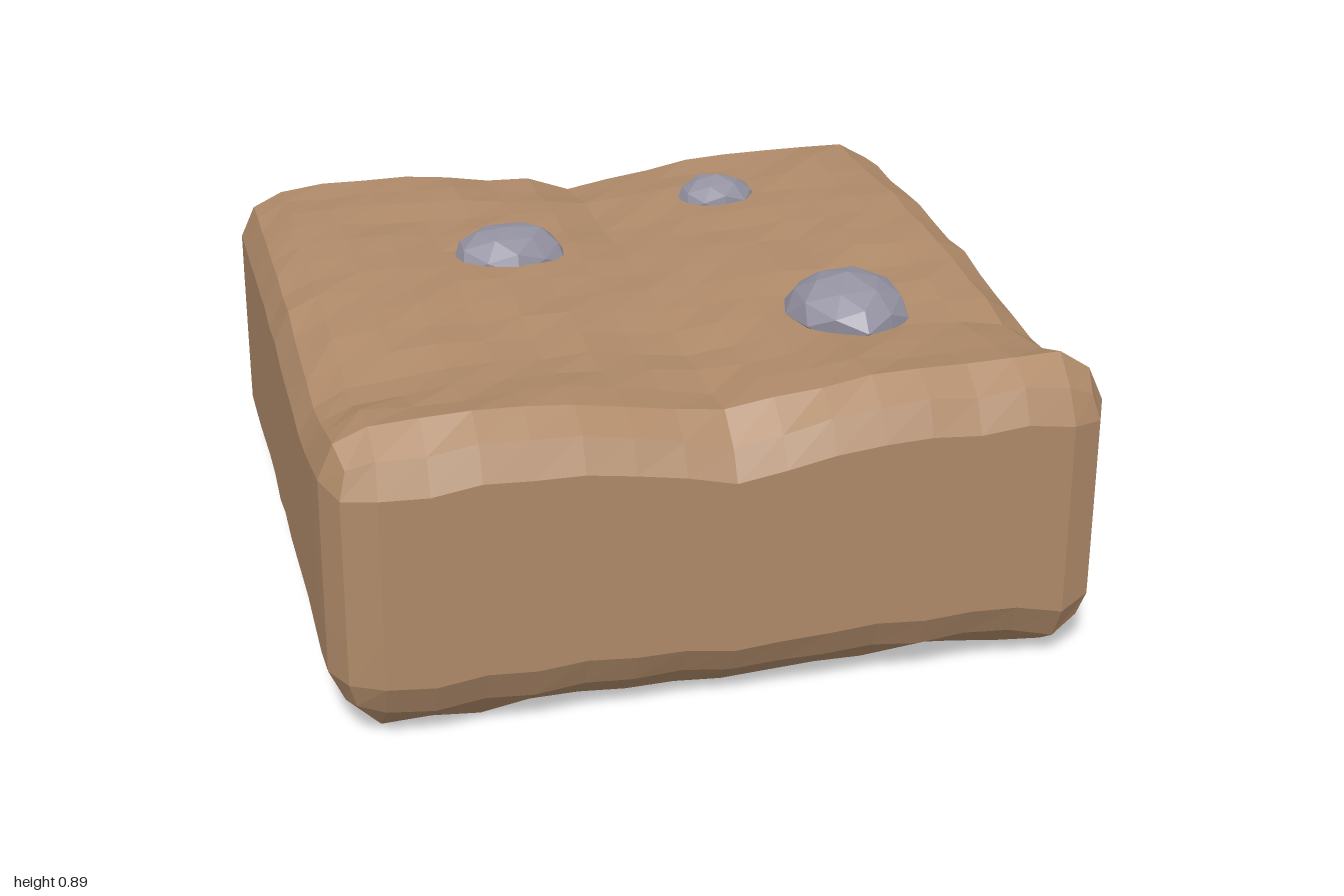
import * as THREE from 'three';

const ROUND = 0.14; // edge rounding of the block
const BOTTOM = 0.03, TOP = 0.81;

// Piecewise-linear curve through [t, value] points
function curve(points, t) {
  for (let i = 1; i < points.length; i++) {
    const [t0, v0] = points[i - 1], [t1, v1] = points[i];
    if (t <= t1) return v0 + (v1 - v0) * (t - t0) / (t1 - t0);
  }
  return points[points.length - 1][1];
}

// Repeatable value in -1..1 for a position, so coincident corners stay joined
function hash(x, y, z) {
  const s = Math.sin(Math.round(x * 100) * 12.99 + Math.round(y * 100) * 78.23 + Math.round(z * 100) * 37.72) * 43758.5;
  return (s - Math.floor(s)) * 2 - 1;
}

// Gentle rise and fall of the top, across and along the block
const across = [[-1, 0], [-0.6, 0.02], [-0.4, 0.015], [-0.2, -0.01], [0, -0.06], [0.2, -0.02], [0.4, 0.005], [0.75, 0.02], [1, -0.005]];
const along = [[-1, -0.01], [-0.8, 0.015], [-0.4, 0.018], [0, 0.005], [0.25, -0.025], [0.5, -0.055], [0.65, -0.045], [0.87, 0.01], [1, -0.02]];
// Rise and fall of the underside
const under = [[-1, 0.005], [-0.85, -0.02], [-0.6, -0.01], [-0.4, 0.02], [0, 0], [0.35, 0.03], [0.6, 0.02], [0.87, -0.02], [1, 0.005]];

function topOffset(x, z) {
  return curve(across, x) * (0.25 + 0.75 * z * z)
    + curve(along, z) * (0.35 + 0.65 * x * x)
    + 0.01 * hash(x, 1, z);
}

function bottomOffset(x, z) {
  const rim = Math.max(Math.abs(x), Math.abs(z)) ** 8;
  return 0.7 * (curve(under, x) + curve(under, z)) - 0.005 + 0.018 * rim + 0.014 * hash(x, 2, z);
}

// Block: a gridded box with rounded edges and an uneven top and underside
function makeBlock(material) {
  const height = TOP - BOTTOM;
  const geometry = new THREE.BoxGeometry(2, height, 2, 16, 6, 16);
  const pos = geometry.attributes.position;
  const half = new THREE.Vector3(1, height / 2, 1);
  const inner = half.clone().subScalar(ROUND);
  const p = new THREE.Vector3(), core = new THREE.Vector3();
  for (let i = 0; i < pos.count; i++) {
    p.fromBufferAttribute(pos, i);
    const { x, z } = p;
    const t = p.y / height + 0.5;
    core.copy(p).clamp(inner.clone().negate(), inner);
    p.sub(core).setLength(ROUND).add(core);
    p.y += (TOP + BOTTOM) / 2 + t * topOffset(x, z) + (1 - t) * bottomOffset(x, z);
    pos.setXYZ(i, p.x, Math.max(p.y, 0), p.z);
  }
  geometry.computeVertexNormals();
  const block = new THREE.Mesh(geometry, material);
  block.name = 'earthBlock';
  return block;
}

// Stone: a slightly irregular faceted ball, squashed and half buried
function makeStone(name, [x, y, z], [rx, ry, rz], material) {
  const geometry = new THREE.IcosahedronGeometry(1, 1);
  const pos = geometry.attributes.position;
  const p = new THREE.Vector3();
  for (let i = 0; i < pos.count; i++) {
    p.fromBufferAttribute(pos, i);
    p.multiplyScalar(1 + 0.06 * hash(p.x + x, p.y, p.z + z));
    pos.setXYZ(i, p.x * rx, p.y * ry, p.z * rz);
  }
  geometry.computeVertexNormals();
  const stone = new THREE.Mesh(geometry, material);
  stone.name = name;
  stone.position.set(x, y, z);
  return stone;
}

export function createModel() {
  const earth = new THREE.MeshStandardMaterial({ color: 0xaf8a69, flatShading: true });
  const rock = new THREE.MeshStandardMaterial({ color: 0x9391a0, flatShading: true });

  const model = new THREE.Group();
  model.name = 'groundTile';
  model.add(
    makeBlock(earth),
    makeStone('largeStone', [0.48, 0.79, 0.37], [0.16, 0.1, 0.185], rock),
    makeStone('mediumStone', [-0.315, 0.795, -0.215], [0.165, 0.097, 0.142], rock),
    makeStone('smallStone', [0.38, 0.795, -0.54], [0.12, 0.082, 0.105], rock)
  );
  return model;
}
